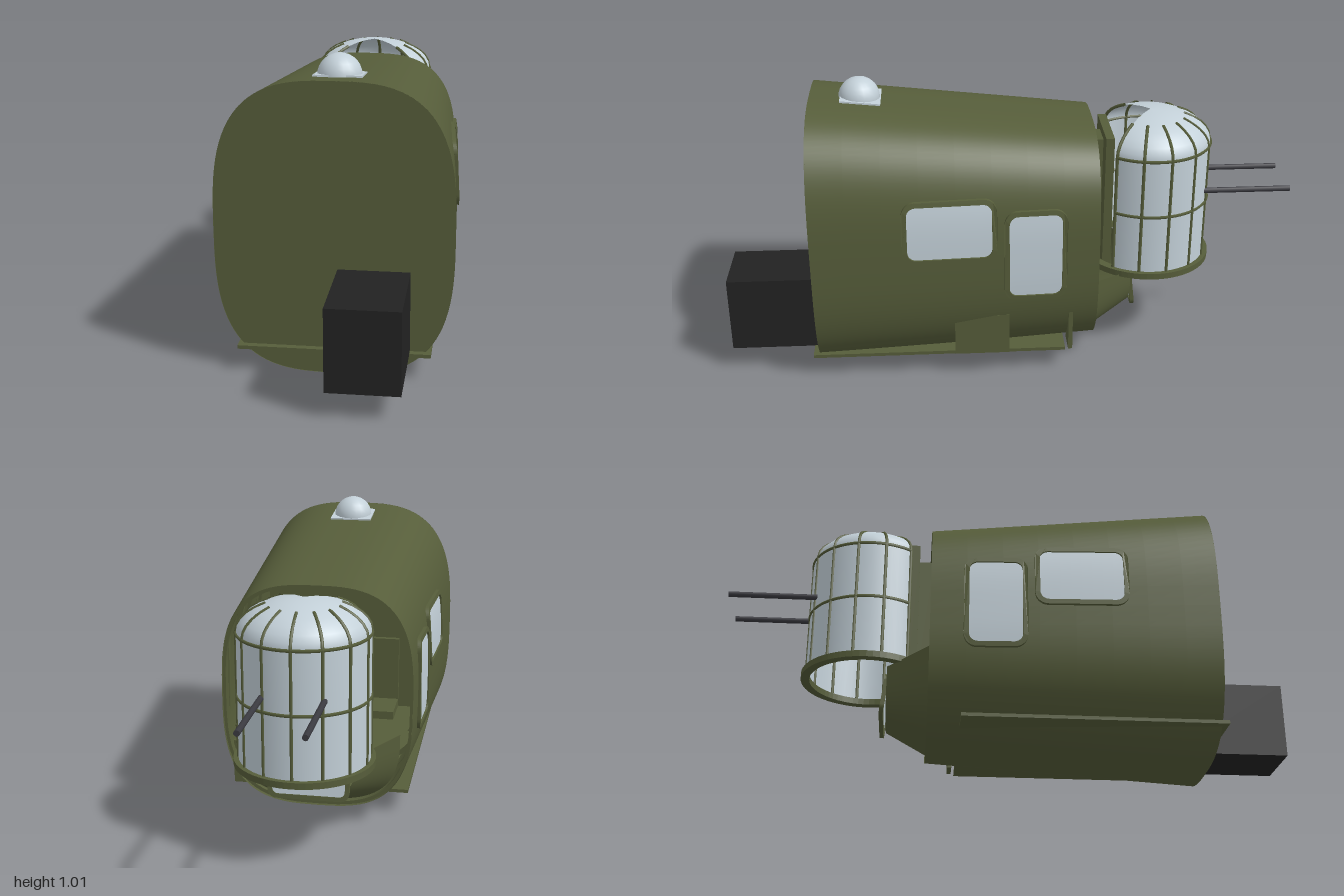
import * as THREE from 'three';

const mat = (name, color, side = THREE.FrontSide) => {
  const m = new THREE.MeshStandardMaterial({ color, side });
  m.name = name;
  return m;
};

export function createModel() {
  const model = new THREE.Group();
  const olive = mat('olive paint', 0x565d3a, THREE.DoubleSide);
  const glass = mat('pale glass', 0xc3d0d8, THREE.DoubleSide);
  const gunMetal = mat('gun metal', 0x3a3a40);
  const black = mat('black', 0x222222);

  const add = (name, geo, material, x = 0, y = 0, z = 0, parent = model) => {
    const m = new THREE.Mesh(geo, material);
    m.name = name;
    m.position.set(x, y, z);
    parent.add(m);
    return m;
  };
  const box = (name, material, x0, x1, y0, y1, z0, z1) =>
    add(name, new THREE.BoxGeometry(x1 - x0, y1 - y0, z1 - z0), material,
      (x0 + x1) / 2, (y0 + y1) / 2, (z0 + z1) / 2);

  // Surface through point(u, v) with u, v in 0..1
  const loft = (point, nu, nv) => {
    const geo = new THREE.PlaneGeometry(1, 1, nu, nv);
    const p = geo.attributes.position;
    for (let i = 0; i < p.count; i++) p.setXYZ(i, ...point(p.getX(i) + 0.5, p.getY(i) + 0.5));
    geo.computeVertexNormals();
    return geo;
  };

  // Tapering superellipse hull
  const N = 3, ZF = 0.69, ZB = -0.29;
  const pow = (v) => Math.sign(v) * Math.abs(v) ** (2 / N);
  const section = (z) => {
    const t = (ZF - z) / (ZF - ZB);
    const bottom = 0.004 + 0.056 * t, top = 0.96 - 0.103 * t;
    return { w: 0.38 - 0.047 * t, c: (bottom + top) / 2, h: (top - bottom) / 2 };
  };
  const hullPoint = (u, z, k = 1) => {
    const s = section(z), a = -Math.PI / 2 + u * Math.PI * 2;
    return [s.w * k * pow(Math.cos(a)), s.c + s.h * k * pow(Math.sin(a)), z];
  };
  const halfWidth = (y, z) => {
    const s = section(z);
    return s.w * Math.max(0, 1 - Math.abs((y - s.c) / s.h) ** N) ** (1 / N);
  };
  add('hull', loft((u, v) => hullPoint(u, ZF + (ZB - ZF) * v), 96, 8), olive);
  const outline = [];
  for (let i = 0; i < 96; i++) outline.push(new THREE.Vector2(...hullPoint(i / 96, ZF)));
  add('frontBulkhead', new THREE.ShapeGeometry(new THREE.Shape(outline)), olive, 0, 0, ZF - 0.002);

  // Internal hoops
  for (const z of [-0.28, -0.08, 0.14, 0.4]) {
    add('hullHoop', loft((u, v) => hullPoint(u, z + 0.02 * v, 0.965), 64, 1), olive);
    add('hullHoopWeb', loft((u, v) => hullPoint(u, z, 0.965 + 0.03 * v), 64, 1), olive);
  }

  // Floor and its side boxes
  box('floor', olive, -0.31, 0.31, 0.08, 0.092, -0.18, 0.71);
  box('sideLocker', olive, 0.18, 0.333, 0.093, 0.245, 0.02, 0.21);
  box('sideBracket', olive, 0.24, 0.318, 0.09, 0.25, -0.205, -0.19);
  box('frontCrate', black, 0.012, 0.242, 0.09, 0.358, 0.6, 1);

  // Cabin fittings
  box('tableTop', glass, -0.08, 0.2, 0.52, 0.535, -0.02, 0.2);
  box('tablePost', glass, 0, 0.02, 0.092, 0.52, 0, 0.02);
  box('equipmentRack', black, 0.06, 0.2, 0.092, 0.48, 0, 0.14);
  box('seat', olive, -0.22, -0.06, 0.25, 0.28, 0.1, 0.26);
  box('seatBack', olive, -0.22, -0.06, 0.28, 0.52, 0.25, 0.27);

  // Side windows, wrapped onto the hull
  const roundRect = (path, w, h, r) => {
    const x = w / 2 - r, y = h / 2 - r, q = Math.PI / 2;
    [[x, y], [-x, y], [-x, -y], [x, -y]].forEach(([cx, cy], i) =>
      path.absarc(cx, cy, r, i * q, (i + 1) * q, false));
    path.closePath();
    return path;
  };
  const wrap = (geo, side, cy, cz) => {
    const p = geo.attributes.position;
    for (let i = 0; i < p.count; i++) {
      const y = cy + p.getY(i), z = cz - side * p.getX(i);
      p.setXYZ(i, side * (halfWidth(y, z) + p.getZ(i)), y, z);
    }
    geo.computeVertexNormals();
    return geo;
  };
  for (const side of [1, -1]) {
    for (const [cy, cz, w, h] of [[0.585, 0.222, 0.32, 0.225], [0.482, -0.07, 0.215, 0.335]]) {
      const shape = roundRect(new THREE.Shape(), w, h, 0.045);
      shape.holes.push(roundRect(new THREE.Path(), w - 0.034, h - 0.034, 0.03));
      const frame = new THREE.ExtrudeGeometry(shape, { depth: 0.012, bevelEnabled: false, curveSegments: 6 });
      add('windowFrame', wrap(frame, side, cy, cz), olive);
      const pane = new THREE.PlaneGeometry(w - 0.028, h - 0.028, 8, 8).translate(0, 0, 0.005);
      add('windowPane', wrap(pane, side, cy, cz), glass);
    }
  }

  // Roof observation dome on a flat square base
  const base = add('roofDomeBase', new THREE.BoxGeometry(0.155, 0.006, 0.14), glass, 0, 0.945, 0.515);
  base.rotation.x = -0.105;
  add('roofDome', new THREE.SphereGeometry(0.072, 20, 14), glass, 0, 0.942, 0.52);

  // Lower tail fairing with a glazed end
  const fairingPoint = (u, v) => {
    const a = Math.PI * u, w = 0.29 - 0.13 * v, top = 0.34 - 0.03 * v, bottom = 0.085 + 0.065 * v;
    return [w * pow(Math.cos(a)), top - (top - bottom) * pow(Math.sin(a)), -0.28 - 0.15 * v];
  };
  add('tailFairing', loft(fairingPoint, 40, 6), olive);
  const tail = new THREE.Group();
  tail.name = 'tailWindow';
  tail.position.set(0, 0.225, -0.437);
  tail.rotation.x = 0.12;
  model.add(tail);
  const tailFrame = roundRect(new THREE.Shape(), 0.28, 0.15, 0.03);
  tailFrame.holes.push(roundRect(new THREE.Path(), 0.25, 0.12, 0.02));
  add('tailWindowFrame', new THREE.ExtrudeGeometry(tailFrame, { depth: 0.014, bevelEnabled: false }),
    olive, 0, 0, -0.007, tail);
  add('tailWindowPane', new THREE.BoxGeometry(0.255, 0.125, 0.006), glass, 0, 0, 0, tail);

  // Gun turret, open toward the cabin
  const turret = new THREE.Group();
  turret.name = 'turret';
  turret.position.z = -0.5;
  model.add(turret);
  const R = 0.218, GAP = THREE.MathUtils.degToRad(51), ARC = Math.PI * 2 - GAP * 2;
  const profile = [new THREE.Vector2(R, 0.33), new THREE.Vector2(R, 0.55)];
  for (let i = 0; i <= 8; i++) {
    const a = (i / 8) * Math.PI / 2;
    profile.push(new THREE.Vector2(R * Math.cos(a), 0.76 + 0.113 * Math.sin(a)));
  }
  add('turretGlass', new THREE.LatheGeometry(profile, 40, GAP, ARC), glass, 0, 0, 0, turret);
  for (let i = 0; i <= 10; i++) {
    const a = GAP + (ARC * i) / 10;
    const path = new THREE.CurvePath();
    const pts = profile.slice(0, 8).map((p) => new THREE.Vector3(p.x * Math.sin(a), p.y, p.x * Math.cos(a)));
    for (let k = 1; k < pts.length; k++) path.add(new THREE.LineCurve3(pts[k - 1], pts[k]));
    add('turretRib', new THREE.TubeGeometry(path, 24, 0.006, 5), olive, 0, 0, 0, turret);
  }
  for (const y of [0.55, 0.76]) {
    const hoop = new THREE.TorusGeometry(R, 0.006, 5, 48, ARC).rotateZ(Math.PI / 2 + GAP).rotateX(Math.PI / 2);
    add('turretHoop', hoop, olive, 0, y, 0, turret);
  }
  const ring = new THREE.Shape().absarc(0, 0, 0.235, 0, Math.PI * 2);
  ring.holes.push(new THREE.Path().absarc(0, 0, 0.205, 0, Math.PI * 2));
  add('turretRing', new THREE.ExtrudeGeometry(ring, { depth: 0.022, bevelEnabled: false, curveSegments: 32 })
    .rotateX(-Math.PI / 2), olive, 0, 0.313, 0, turret);

  // Armour plate behind the gunner and the twin guns
  box('armourPlate', olive, -0.12, 0.12, 0.31, 0.81, -0.36, -0.33);
  box('armourPost', olive, -0.05, 0.05, 0.31, 0.78, -0.33, -0.28);
  for (const x of [-0.1, 0.1]) {
    add('gunBarrel', new THREE.CylinderGeometry(0.01, 0.01, 0.5, 10).rotateX(Math.PI / 2),
      gunMetal, x, 0.595, -0.75);
    box('gunBody', gunMetal, x - 0.02, x + 0.02, 0.57, 0.62, -0.6, -0.42);
  }
  return model;
}
